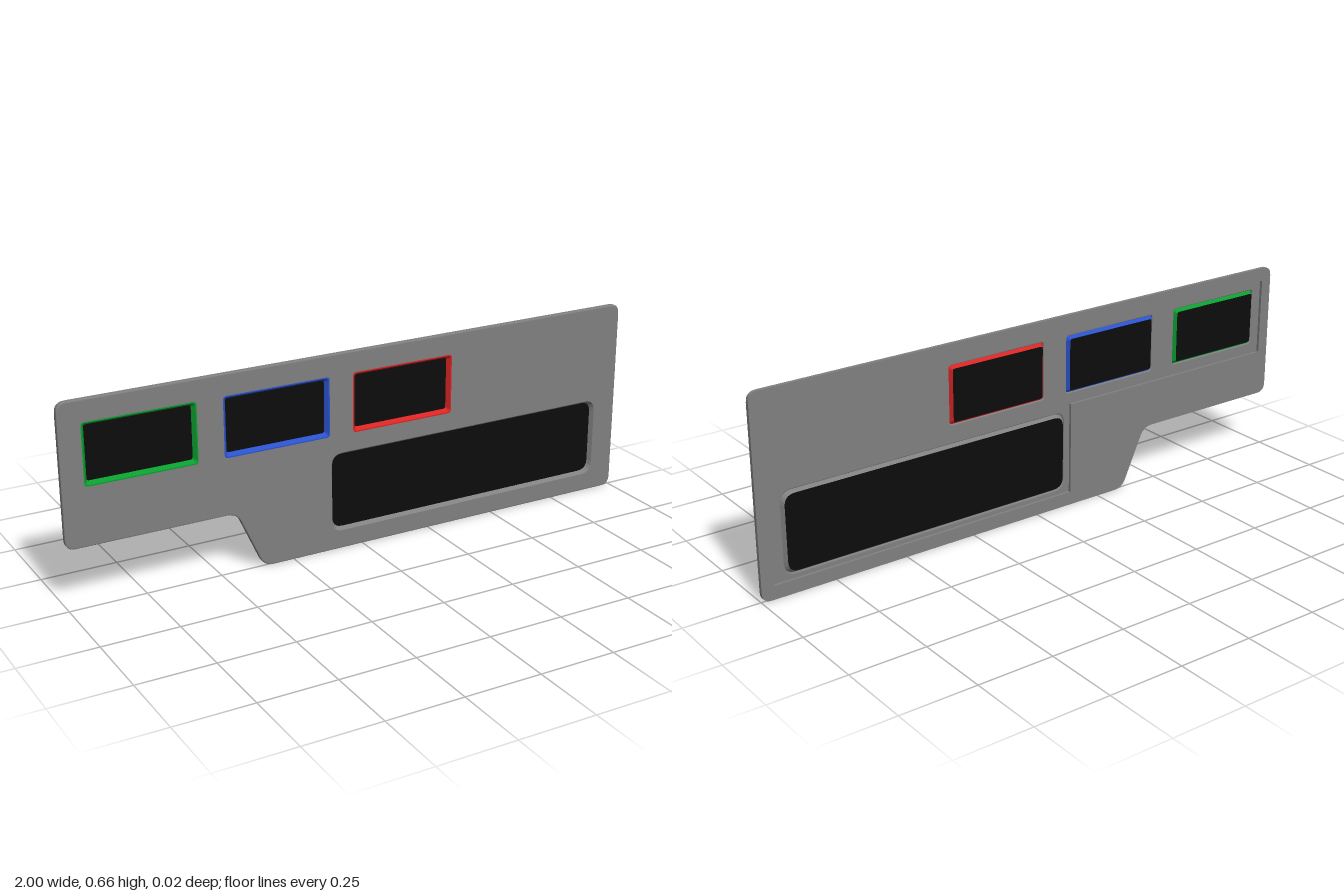
import * as THREE from 'three';

const mat = (name, color, side = THREE.FrontSide) =>
  Object.assign(new THREE.MeshStandardMaterial({ color, side }), { name });

// Closed polygon with rounded corners, added to a Shape or Path
function roundedPolygon(points, radius, path) {
  const p = points.map(([x, y]) => new THREE.Vector2(x, y));
  p.forEach((corner, i) => {
    const towards = (other) =>
      corner.clone().add(other.clone().sub(corner).setLength(radius));
    const a = towards(p[(i + p.length - 1) % p.length]);
    const b = towards(p[(i + 1) % p.length]);
    if (i === 0) path.moveTo(a.x, a.y);
    else path.lineTo(a.x, a.y);
    path.quadraticCurveTo(corner.x, corner.y, b.x, b.y);
  });
  path.closePath();
  return path;
}

// Rounded rectangle of a window, shrunk by an inset
function windowOutline(w, inset, path) {
  const x0 = w.x0 + inset, x1 = w.x1 - inset;
  const y0 = w.y0 + inset, y1 = w.y1 - inset;
  return roundedPolygon([[x0, y0], [x1, y0], [x1, y1], [x0, y1]], w.radius - inset * 0.3, path);
}

// Sloped tray wall joining successive [inset, z] rings
function trayWall(w, rings) {
  const loops = rings.map(([inset, z]) =>
    windowOutline(w, inset, new THREE.Path()).getPoints(5).map((p) => [p.x, p.y, z]));
  const n = loops[0].length;
  const index = [];
  for (let r = 0; r < loops.length - 1; r++) {
    for (let i = 0; i < n; i++) {
      const j = (i + 1) % n, a = r * n, b = a + n;
      index.push(a + i, a + j, b + j, a + i, b + j, b + i);
    }
  }
  const geo = new THREE.BufferGeometry();
  geo.setAttribute('position', new THREE.Float32BufferAttribute(loops.flat(2), 3));
  geo.setIndex(index);
  const flat = geo.toNonIndexed();
  flat.computeVertexNormals();
  return flat;
}

export function createModel() {
  const group = new THREE.Group();
  const both = THREE.DoubleSide;
  const grey = mat('panelGrey', 0x808080);
  const greyWall = mat('trayGrey', 0x808080, both);
  const black = mat('paneBlack', 0x0c0c0c, both);
  const green = mat('frameGreen', 0x0a9e30, both);
  const blue = mat('frameBlue', 0x2a52cc, both);
  const red = mat('frameRed', 0xd82424, both);

  const add = (name, geometry, material, z = 0) => {
    const mesh = new THREE.Mesh(geometry, material);
    mesh.name = name;
    mesh.position.z = z;
    group.add(mesh);
  };

  const small = { y0: 0.39, y1: 0.59, radius: 0.012 };
  const windows = [
    { ...small, name: 'green', x0: -0.93, x1: -0.567, material: green },
    { ...small, name: 'blue', x0: -0.481, x1: -0.118, material: blue },
    { ...small, name: 'red', x0: -0.035, x1: 0.33, material: red },
    { name: 'large', x0: -0.117, x1: 0.92, y0: 0.058, y1: 0.334, radius: 0.04, material: greyWall },
  ];

  // Stepped outline of the panel
  const outline = () => roundedPolygon([
    [-1, 0.2], [-0.445, 0.2], [-0.355, 0], [1, 0], [1, 0.66], [-1, 0.66],
  ], 0.033, new THREE.Shape());

  // Front skin with bevelled edge and window openings
  const skin = outline();
  windows.forEach((w) => skin.holes.push(windowOutline(w, 0.004, new THREE.Path())));
  add('frontPanel', new THREE.ExtrudeGeometry(skin, {
    depth: 0.001, bevelThickness: 0.003, bevelSize: 0.004,
    bevelOffset: -0.004, bevelSegments: 2, curveSegments: 6,
  }), grey, 0.004);

  // Rear body with the L-shaped recess behind the windows
  const body = outline();
  body.holes.push(new THREE.Path([
    [-0.962, 0.355], [-0.135, 0.355], [-0.135, 0.045],
    [0.957, 0.045], [0.957, 0.615], [-0.962, 0.615],
  ].map(([x, y]) => new THREE.Vector2(x, y))));
  add('rearBody', new THREE.ExtrudeGeometry(body, {
    depth: 0.012, bevelEnabled: false, curveSegments: 6,
  }), grey, -0.008);

  // Dished frame and dark pane of each window
  for (const w of windows) {
    add(`${w.name}Frame`, trayWall(w, [[0, 0.0082], [0.004, 0.0082], [0.013, -0.006]]), w.material);
    const pane = windowOutline(w, 0.013, new THREE.Shape());
    add(`${w.name}Pane`, new THREE.ShapeGeometry(pane, 5), black, -0.006);
  }
  return group;
}
